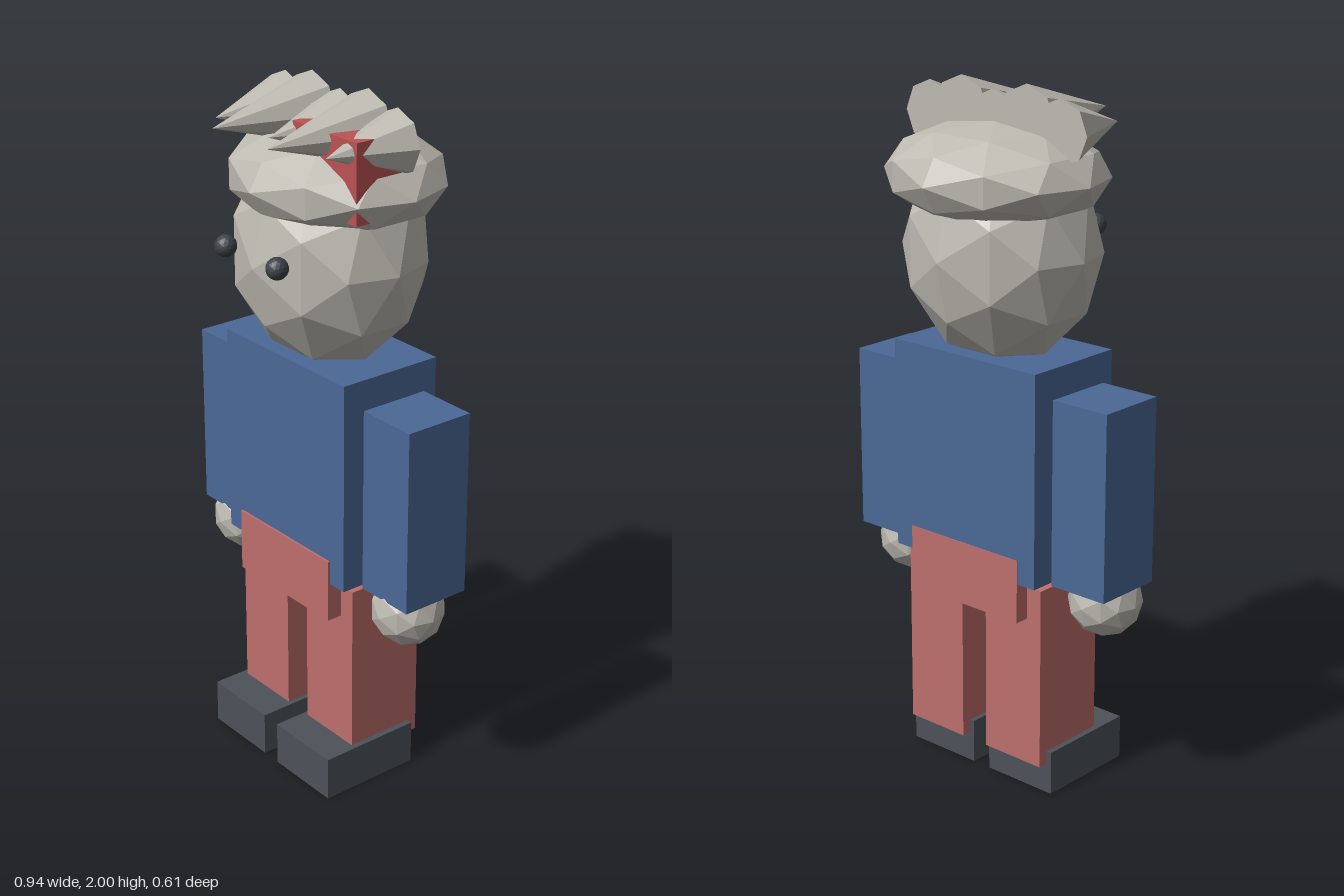
import * as THREE from 'three';

const mat = (name, color) => {
  const m = new THREE.MeshStandardMaterial({ color, flatShading: true });
  m.name = name;
  return m;
};

export function createModel() {
  const skin = mat('warm grey', 0xbdbab1);
  const blue = mat('shirt blue', 0x4a6896);
  const red = mat('trouser red', 0xbd6e6c);
  const bandRed = mat('band red', 0xbb5353);
  const dark = mat('shoe grey', 0x4d5259);
  const black = mat('eye black', 0x3d4048);

  const group = new THREE.Group();
  const add = (name, geometry, material, x, y, z) => {
    const mesh = new THREE.Mesh(geometry, material);
    mesh.name = name;
    mesh.position.set(x, y, z);
    group.add(mesh);
    return mesh;
  };
  // Box given by its limits on each axis
  const box = (name, material, [x0, x1], [y0, y1], [z0, z1]) =>
    add(name, new THREE.BoxGeometry(x1 - x0, y1 - y0, z1 - z0), material,
      (x0 + x1) / 2, (y0 + y1) / 2, (z0 + z1) / 2);
  // Faceted ball with separate radii
  const ball = (name, material, rx, ry, rz, x, y, z, detail = 1) =>
    add(name, new THREE.IcosahedronGeometry(1, detail).scale(rx, ry, rz), material, x, y, z);

  // Body
  box('torso', blue, [-0.26, 0.26], [0.65, 1.265], [-0.155, 0.165]);
  box('hips', red, [-0.2, 0.2], [0.535, 0.72], [-0.158, 0.172]);

  // Limbs and eyes, mirrored
  for (const [side, s] of [['left', 1], ['right', -1]]) {
    const span = (a, b) => (s > 0 ? [a, b] : [-b, -a]);
    box(side + 'Arm', blue, span(0.275, 0.46), [0.65, 1.185], [-0.1, 0.11]);
    ball(side + 'Hand', skin, 0.105, 0.105, 0.105, s * 0.367, 0.6, 0.023);
    box(side + 'Leg', red, span(0.045, 0.25), [0.09, 0.63], [-0.115, 0.125]);
    box(side + 'Shoe', dark, span(0.03, 0.267), [0, 0.13], [-0.085, 0.226]);
    ball(side + 'Eye', black, 0.031, 0.031, 0.031, s * 0.112, 1.575, 0.268, 2);
  }

  // Head and flattened hair
  ball('head', skin, 0.29, 0.324, 0.261, 0, 1.54, 0.005);
  ball('hair', skin, 0.325, 0.14, 0.288, 0, 1.75, -0.017);

  // Fringe of forward spikes, alternating long and short
  for (let i = -2; i <= 2; i++) {
    const long = i % 2 !== 0;
    const r = long ? 0.1 : 0.09, length = long ? 0.33 : 0.235;
    add('fringeSpike', new THREE.ConeGeometry(r, length, 8).rotateX(Math.PI / 2), skin,
      i * 0.1165, long ? 1.9 : 1.885, -0.03 + length / 2);
  }

  // Red block tucked into the hair
  box('hairBand', bandRed, [0.008, 0.268], [1.7, 1.92], [-0.02, 0.133]);

  return group;
}
